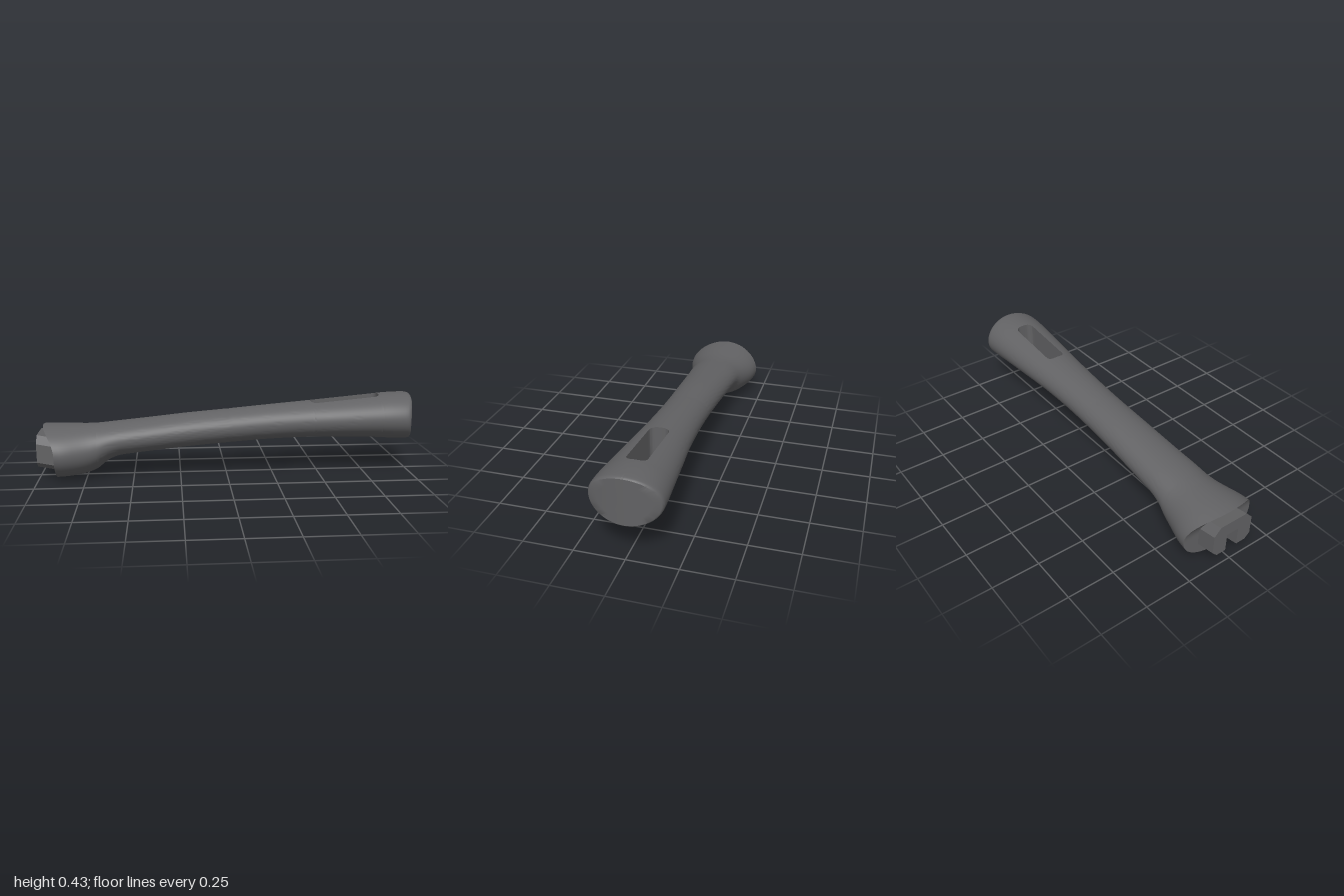
import * as THREE from 'three';
import { toCreasedNormals } from 'three/addons/utils/BufferGeometryUtils.js';

// Grip profile: x, top y, bottom y, half width
const PROFILE = [
  [-0.9, 0.285, 0.004, 0.21], [-0.85, 0.285, 0.006, 0.203], [-0.8, 0.283, 0.011, 0.188],
  [-0.75, 0.282, 0.021, 0.173], [-0.69, 0.284, 0.045, 0.159], [-0.64, 0.288, 0.086, 0.149],
  [-0.58, 0.294, 0.113, 0.143], [-0.5, 0.302, 0.124, 0.138], [-0.4, 0.312, 0.135, 0.134],
  [-0.2, 0.333, 0.155, 0.127], [0, 0.35, 0.171, 0.123], [0.2, 0.368, 0.185, 0.125],
  [0.4, 0.385, 0.193, 0.135], [0.6, 0.402, 0.193, 0.152], [0.8, 0.42, 0.188, 0.168],
  [0.9, 0.429, 0.182, 0.175], [1, 0.43, 0.18, 0.176],
];
const SLOT = [0.46, 0.83];
const POCKET_X = -0.69, POCKET_TOP = 0.125;
const clamp = THREE.MathUtils.clamp;

// Smooth interpolation of the profile table
function profile(x) {
  let i = 0;
  while (i < PROFILE.length - 2 && x > PROFILE[i + 1][0]) i++;
  const at = k => PROFILE[clamp(k, 0, PROFILE.length - 1)];
  const [p, a, b, n] = [at(i - 1), at(i), at(i + 1), at(i + 2)];
  const h = b[0] - a[0], t = clamp((x - a[0]) / h, 0, 1);
  return [1, 2, 3].map(c => {
    const m0 = (b[c] - p[c]) / (b[0] - p[0]) * h, m1 = (n[c] - a[c]) / (n[0] - a[0]) * h;
    return (2 * t ** 3 - 3 * t * t + 1) * a[c] + (t ** 3 - 2 * t * t + t) * m0
      + (3 * t * t - 2 * t ** 3) * b[c] + (t ** 3 - t * t) * m1;
  });
}

// Half width of the centre strip, rounding the corners of slot and pocket
function stripWidth(x) {
  const e = clamp(x > 0 ? Math.min(x - SLOT[0], SLOT[1] - x) : x - POCKET_X, 0, 0.03);
  return 0.02 + Math.sqrt(0.0009 - (0.03 - e) ** 2);
}

// One cross-section, split into top strip, left side, bottom strip and right side
function section(x, scale = 1, pocket = true) {
  const [top, bottom, width] = profile(x);
  const yc = (top + bottom) / 2, hy = (top - bottom) / 2 * scale, hw = width * scale;
  const s = Math.min(stripWidth(x), hw * 0.4), a = Math.asin(s / hw);
  const arc = (from, to, n, raise) => Array.from({ length: n + 1 }, (_, k) => {
    const phi = from + (to - from) * k / n;
    const z = hw * Math.sin(phi);
    let y = yc + hy * Math.cos(phi);
    if (raise) y = Math.max(y, POCKET_TOP - 0.025 * (z / s) ** 4);
    // Front lip leans out at the top, butt end bows outwards
    const lip = 0.075 * clamp((y - 0.15) / 0.135, 0, 1) ** 2 * clamp((-0.78 - x) / 0.12, 0, 1);
    const bow = 0.03 * (z / 0.176) ** 2 * clamp((x - 0.88) / 0.1, 0, 1);
    return new THREE.Vector3(x - lip - bow, y, z);
  });
  const raise = pocket && x >= POCKET_X && x < -0.35;
  return {
    x, top: arc(-a, a, 8), left: arc(a, Math.PI - a, 28),
    bottom: arc(Math.PI - a, Math.PI + a, 8, raise), right: arc(Math.PI + a, 2 * Math.PI - a, 28),
  };
}

function buildGrip() {
  const positions = [];
  const triangle = (a, b, c) => {
    const area = new THREE.Vector3().subVectors(b, a).cross(new THREE.Vector3().subVectors(c, a));
    if (area.length() > 1e-9) for (const p of [a, b, c]) positions.push(p.x, p.y, p.z);
  };
  const skin = (r0, r1) => {
    for (let j = 0; j < r0.length - 1; j++) {
      triangle(r0[j], r0[j + 1], r1[j + 1]);
      triangle(r0[j], r1[j + 1], r1[j]);
    }
  };

  // Stations along the grip, denser round the slot and pocket corners
  const xs = [];
  for (let i = 1; i < 60; i++) xs.push(-0.9 + i * 0.03);
  for (const d of [0, 0.002, 0.006, 0.013, 0.021, 0.03]) xs.push(SLOT[0] + d, SLOT[1] - d, POCKET_X + d);
  const unique = [...new Set(xs.map(x => +x.toFixed(4)))].sort((a, b) => a - b);

  const rings = [0.001, 0.35, 0.7, 0.95, 1].map(s => section(-0.9, s));
  for (const x of unique) {
    if (x === POCKET_X) rings.push(section(x, 1, false));
    rings.push(section(x));
  }
  rings.push(section(0.93), section(0.96), section(0.98), section(0.99, 0.992), section(0.997, 0.97));
  for (const s of [0.94, 0.7, 0.35, 0.001]) rings.push(section(1, s));

  for (let i = 0; i < rings.length - 1; i++) {
    const p = rings[i], q = rings[i + 1];
    skin(p.left, q.left);
    skin(p.right, q.right);
    if (p.x >= SLOT[0] && q.x <= SLOT[1]) {
      // Inner walls of the hanging slot
      for (const side of ['left', 'right']) {
        skin([p[side].at(-1), p[side][0]], [q[side].at(-1), q[side][0]]);
      }
    } else {
      skin(p.top, q.top);
      skin(p.bottom, q.bottom);
      // Side walls of the screw pocket
      skin([p.left.at(-1), p.bottom[0]], [q.left.at(-1), q.bottom[0]]);
      skin([p.bottom.at(-1), p.right[0]], [q.bottom.at(-1), q.right[0]]);
    }
  }
  // End walls of the slot
  const [start, end] = SLOT.map(x => rings.find(r => r.x === x));
  skin(start.top, [...start.bottom].reverse());
  skin([...end.bottom].reverse(), end.top);

  const geometry = new THREE.BufferGeometry();
  geometry.setAttribute('position', new THREE.Float32BufferAttribute(positions, 3));
  return toCreasedNormals(geometry, 0.6);
}

// Chamfered mounting lug with a channel open at the bottom
function buildLug() {
  const half = [[0.035, 0.077], [0.09, 0.077], [0.117, 0.105], [0.117, 0.205], [0.08, 0.245]];
  const outline = [[0.035, 0.175], ...half];
  const mirrored = outline.map(([z, y]) => [-z, y]).reverse();
  const shape = new THREE.Shape([...outline, ...mirrored].map(p => new THREE.Vector2(...p)));
  const geometry = new THREE.ExtrudeGeometry(shape, { depth: 0.14, bevelEnabled: false });
  geometry.rotateY(-Math.PI / 2).translate(-0.86, 0, 0);
  // Tilt to follow the neck
  const pos = geometry.attributes.position;
  for (let i = 0; i < pos.count; i++) pos.setY(i, pos.getY(i) - 0.2 * (pos.getX(i) + 1));
  geometry.computeVertexNormals();
  return geometry;
}

export function createModel() {
  const darkGrey = new THREE.MeshStandardMaterial({ color: 0x626264 });
  darkGrey.name = 'darkGrey';
  const model = new THREE.Group();
  model.name = 'panHandle';
  const add = (name, geometry) => {
    const mesh = new THREE.Mesh(geometry, darkGrey);
    mesh.name = name;
    model.add(mesh);
  };
  add('grip', buildGrip());
  add('mountingLug', buildLug());
  return model;
}
